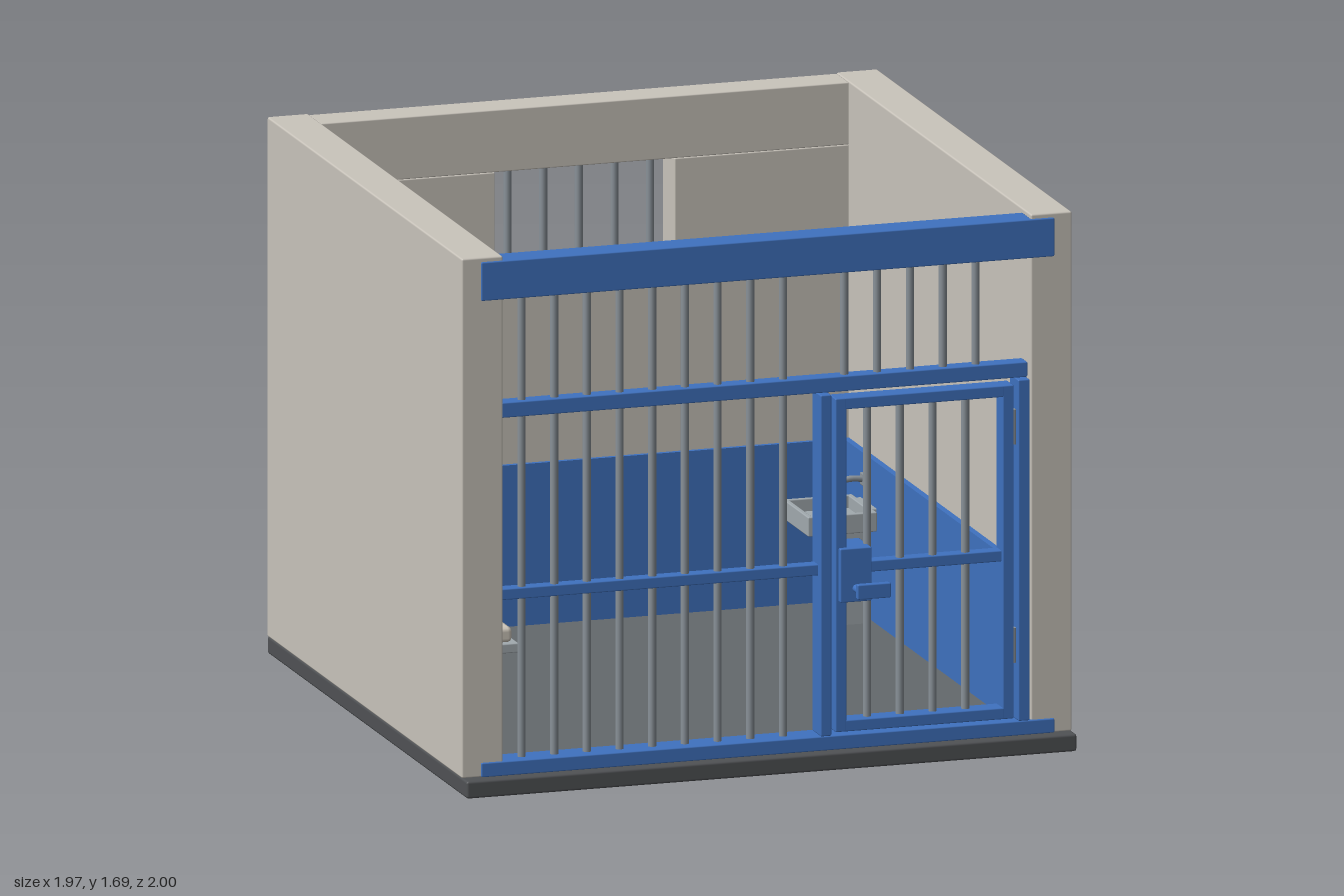
import * as THREE from 'three';
import { RoundedBoxGeometry } from 'three/addons/geometries/RoundedBoxGeometry.js';

const material = (name, color) => {
  const m = new THREE.MeshStandardMaterial({ color });
  m.name = name;
  return m;
};

export function createModel() {
  const wall = material('plaster', 0xcac5bc);
  const slab = material('darkConcrete', 0x505255);
  const tile = material('floorGrey', 0x64696d);
  const blue = material('bluePaint', 0x3f72c0);
  const steel = material('barSteel', 0x8a9299);
  const basin = material('sinkSteel', 0xa2aaaf);
  const cloth = material('bedCloth', 0xcfc8bc);

  const root = new THREE.Group();
  root.name = 'prisonCell';
  const group = (name) => {
    const g = new THREE.Group();
    g.name = name;
    root.add(g);
    return g;
  };
  const add = (parent, name, geometry, mat) => {
    const mesh = new THREE.Mesh(geometry, mat);
    mesh.name = name;
    parent.add(mesh);
    return mesh;
  };
  // Box given by its low and high limits on each axis, with softened edges
  const box = (parent, name, mat, x0, x1, y0, y1, z0, z1, bevel = 0.004) => {
    const w = x1 - x0, h = y1 - y0, d = z1 - z0;
    const g = bevel > 0 ? new RoundedBoxGeometry(w, h, d, 1, bevel) : new THREE.BoxGeometry(w, h, d);
    add(parent, name, g, mat).position.set((x0 + x1) / 2, (y0 + y1) / 2, (z0 + z1) / 2);
  };
  const bar = (parent, name, mat, x, y0, y1, z, r = 0.013) =>
    add(parent, name, new THREE.CylinderGeometry(r, r, y1 - y0, 12), mat).position.set(x, (y0 + y1) / 2, z);

  // Floor
  const floor = group('floor');
  box(floor, 'floorSlab', slab, -0.985, 0.985, 0, 0.055, -1, 0.97, 0.008);
  box(floor, 'floorSurface', tile, -0.85, 0.85, 0.05, 0.06, -0.875, 0.915, 0);

  // Walls, the back one pieced around its window
  const walls = group('walls');
  for (const [name, x0, x1] of [['rightWall', -0.985, -0.852], ['leftWall', 0.852, 0.985]])
    box(walls, name, wall, x0, x1, 0.053, 1.695, -1, 0.92, 0.006);
  box(walls, 'backWallLower', wall, -0.853, 0.853, 0.053, 1.13, -0.995, -0.875);
  box(walls, 'backWallUpper', wall, -0.853, 0.853, 1.495, 1.692, -0.995, -0.875);
  for (const [name, x0, x1] of [['backWallRight', -0.853, -0.29], ['backWallLeft', 0.29, 0.853]])
    box(walls, name, wall, x0, x1, 1.13, 1.495, -0.995, -0.875);

  // Blue wainscot
  const lining = group('wainscot');
  box(lining, 'backPanel', blue, -0.84, 0.84, 0.055, 0.57, -0.877, -0.86, 0);
  for (const [name, x0, x1] of [['rightPanel', -0.854, -0.832], ['leftPanel', 0.832, 0.854]])
    box(lining, name, blue, x0, x1, 0.055, 0.57, -0.875, 0.82, 0);

  // Barred window
  const windowGroup = group('window');
  box(windowGroup, 'windowSill', blue, -0.295, 0.295, 1.11, 1.14, -0.877, -0.845);
  for (let i = -2; i <= 2; i++) bar(windowGroup, 'windowBar', steel, i * 0.115, 1.125, 1.5, -0.935);

  // Front grille
  const front = group('frontGrille');
  box(front, 'topBeam', blue, -0.925, 0.925, 1.56, 1.682, 0.921, 0.932);
  box(front, 'topBeamCore', blue, -0.853, 0.853, 1.56, 1.682, 0.835, 0.928);
  box(front, 'bottomBeam', blue, -0.925, 0.925, 0.055, 0.1, 0.921, 0.932);
  box(front, 'bottomBeamCore', blue, -0.853, 0.853, 0.055, 0.1, 0.835, 0.928);
  box(front, 'upperRail', blue, -0.852, 0.845, 1.18, 1.228, 0.855, 0.91);
  box(front, 'middleRail', blue, -0.852, 0.175, 0.603, 0.638, 0.86, 0.905);
  for (let i = 0; i < 9; i++) bar(front, 'grilleBar', steel, -0.78 + i * 0.1055, 0.09, 1.57, 0.882);
  for (let i = 0; i < 5; i++) bar(front, 'transomBar', steel, 0.262 + i * 0.106, 1.22, 1.57, 0.882);
  for (const [name, x0, x1] of [['latchPost', 0.17, 0.205], ['hingePost', 0.808, 0.845]])
    box(front, name, blue, x0, x1, 0.1, 1.178, 0.845, 0.932);

  // Door with bars, lock and hinges
  const door = group('door');
  box(door, 'doorStileRight', blue, 0.22, 0.256, 0.108, 1.162, 0.86, 0.925);
  box(door, 'doorStileLeft', blue, 0.76, 0.796, 0.108, 1.162, 0.86, 0.925);
  box(door, 'doorTopRail', blue, 0.25, 0.766, 1.126, 1.162, 0.86, 0.925);
  box(door, 'doorBottomRail', blue, 0.25, 0.766, 0.108, 0.144, 0.86, 0.925);
  box(door, 'doorMiddleRail', blue, 0.25, 0.766, 0.603, 0.638, 0.865, 0.91);
  for (let i = 0; i < 4; i++) bar(door, 'doorBar', steel, 0.333 + i * 0.1055, 0.135, 1.135, 0.89);
  for (const y of [0.28, 0.97]) bar(door, 'hinge', steel, 0.802, y, y + 0.11, 0.9, 0.011);
  box(door, 'lockBox', blue, 0.23, 0.332, 0.52, 0.69, 0.815, 0.942);
  const neck = add(door, 'handleNeck', new THREE.CylinderGeometry(0.013, 0.013, 0.05, 12), blue);
  neck.rotation.x = Math.PI / 2;
  neck.position.set(0.282, 0.563, 0.962);
  box(door, 'handle', blue, 0.267, 0.375, 0.54, 0.587, 0.978, 1);

  // Bunk on two wall brackets
  const bed = group('bed');
  box(bed, 'bedFrame', basin, -0.832, -0.515, 0.212, 0.242, -0.795, 0.05);
  box(bed, 'mattress', cloth, -0.82, -0.53, 0.24, 0.29, -0.78, 0.035, 0.015);
  box(bed, 'pillow', cloth, -0.797, -0.55, 0.285, 0.325, -0.77, -0.6, 0.015);
  const bracketShape = new THREE.Shape(
    [[-0.835, 0.1], [-0.77, 0.1], [-0.565, 0.214], [-0.835, 0.214]].map(([x, y]) => new THREE.Vector2(x, y)));
  for (const z of [-0.65, -0.1])
    add(bed, 'bedBracket', new THREE.ExtrudeGeometry(bracketShape, { depth: 0.025, bevelEnabled: false }), basin)
      .position.z = z - 0.0125;

  // Sink: rimmed bowl, pedestal and tap
  const sink = group('sink');
  box(sink, 'bowlFloor', basin, 0.6, 0.815, 0.363, 0.385, -0.74, -0.5);
  for (const [x0, x1] of [[0.597, 0.613], [0.803, 0.82]])
    box(sink, 'bowlSide', basin, x0, x1, 0.363, 0.425, -0.745, -0.497);
  for (const [z0, z1] of [[-0.745, -0.729], [-0.513, -0.497]])
    box(sink, 'bowlEnd', basin, 0.6, 0.815, 0.363, 0.425, z0, z1);
  box(sink, 'wallMount', basin, 0.81, 0.836, 0.363, 0.425, -0.7, -0.54);
  box(sink, 'pedestal', basin, 0.695, 0.81, 0.055, 0.37, -0.68, -0.56);
  box(sink, 'tapPlate', steel, 0.81, 0.836, 0.48, 0.52, -0.64, -0.6);
  const tap = add(sink, 'tap', new THREE.TubeGeometry(new THREE.CatmullRomCurve3([
    new THREE.Vector3(0.83, 0.5, -0.62), new THREE.Vector3(0.77, 0.505, -0.62),
    new THREE.Vector3(0.742, 0.495, -0.62), new THREE.Vector3(0.738, 0.47, -0.62)]), 12, 0.01, 8), steel);
  tap.material.side = THREE.DoubleSide;
  return root;
}
